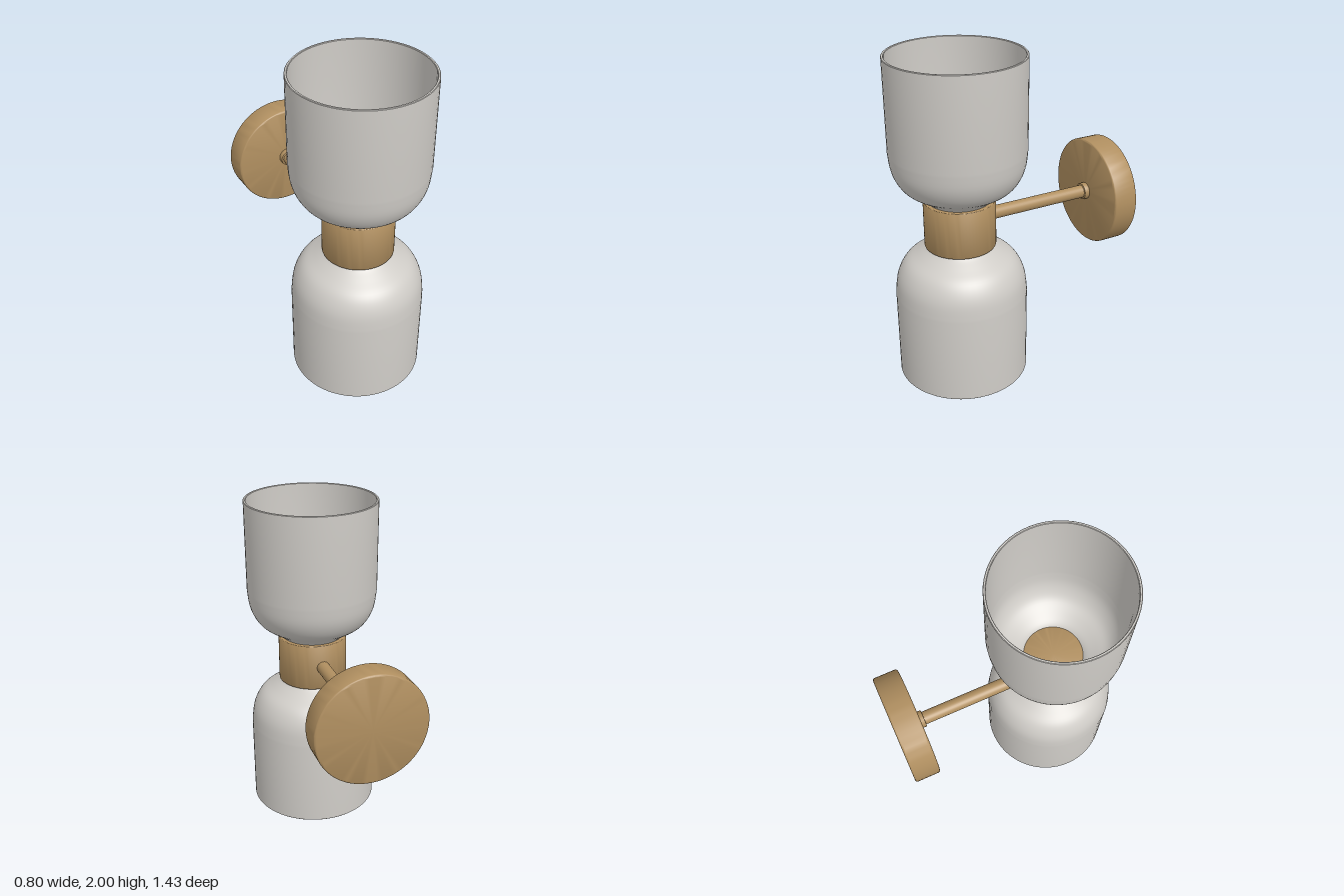
import * as THREE from 'three';
import { toCreasedNormals } from 'three/addons/utils/BufferGeometryUtils.js';

const SEGMENTS = 64;
const LAMP_Z = 0.317;
const MID_Y = 1;

// Turned solid from [radius, height] pairs, listed up the outside
function turned(pairs, segments = SEGMENTS) {
  const points = pairs.map(([r, y]) => new THREE.Vector2(r, y));
  return toCreasedNormals(new THREE.LatheGeometry(points, segments), 0.6);
}

// Closed drum with softly rounded rims, centred on the origin
function drum(radius, height, bevel, segments = SEGMENTS) {
  const h = height / 2;
  const pairs = [[0, -h]];
  for (let i = 0; i <= 4; i++) {
    const a = (i / 4) * Math.PI / 2;
    pairs.push([radius - bevel + bevel * Math.sin(a), -h + bevel - bevel * Math.cos(a)]);
  }
  for (let i = 0; i <= 4; i++) {
    const a = (i / 4) * Math.PI / 2;
    pairs.push([radius - bevel + bevel * Math.cos(a), h - bevel + bevel * Math.sin(a)]);
  }
  pairs.push([0, h]);
  return turned(pairs, segments);
}

// Thin-walled glass bell, heights measured from the middle of the lamp
function shadeGeometry() {
  const curve = new THREE.SplineCurve([
    [0.187, 0.142], [0.207, 0.162], [0.258, 0.196], [0.322, 0.24],
    [0.362, 0.295], [0.387, 0.365], [0.398, 0.46],
  ].map(([r, y]) => new THREE.Vector2(r, y)));
  const outer = curve.getPoints(24);
  const wall = 0.015;
  // Inner wall follows the outer one at a constant distance
  const inner = outer.map((p, i) => {
    const t = curve.getTangent(i / 24);
    return [p.x - t.y * wall, p.y + t.x * wall];
  });
  const outside = outer.map((p) => [p.x, p.y]);
  return turned([
    ...outside, [0.398, 0.997], [0.395, 1], [0.386, 1], [0.383, 0.997],
    ...inner.reverse(), outside[0],
  ]);
}

export function createModel() {
  const group = new THREE.Group();
  const brass = new THREE.MeshStandardMaterial({ color: 0xb08f60 });
  brass.name = 'brass';
  const glass = new THREE.MeshStandardMaterial({ color: 0xcfccc7 });
  glass.name = 'frostedGlass';

  function add(name, geometry, material, y, z, rotX = 0) {
    const mesh = new THREE.Mesh(geometry, material);
    mesh.name = name;
    mesh.position.set(0, y, z);
    mesh.rotation.x = rotX;
    group.add(mesh);
  }

  // Mirrored pair of shades, open at the far ends
  const shade = shadeGeometry();
  add('upperShade', shade, glass, MID_Y, LAMP_Z);
  add('lowerShade', shade, glass, MID_Y, LAMP_Z, Math.PI);

  // Central holder, with discs closing the shade necks
  add('holder', drum(0.213, 0.292, 0.005), brass, MID_Y, LAMP_Z);
  add('neckDiscs', drum(0.185, 0.304, 0.002), brass, MID_Y, LAMP_Z);

  // Arm, collar and round wall plate
  const back = Math.PI / 2;
  add('arm', new THREE.CylinderGeometry(0.04, 0.04, 0.7, 32), brass, MID_Y, -0.22, back);
  add('armCollar', drum(0.052, 0.05, 0.003, 32), brass, MID_Y, -0.553, back);
  add('wallPlate', drum(0.332, 0.157, 0.014), brass, MID_Y, -0.6385, back);

  // Small fixing screw under the plate
  add('fixingScrew', drum(0.014, 0.03, 0.003, 16), brass, 0.677, -0.637);

  return group;
}
